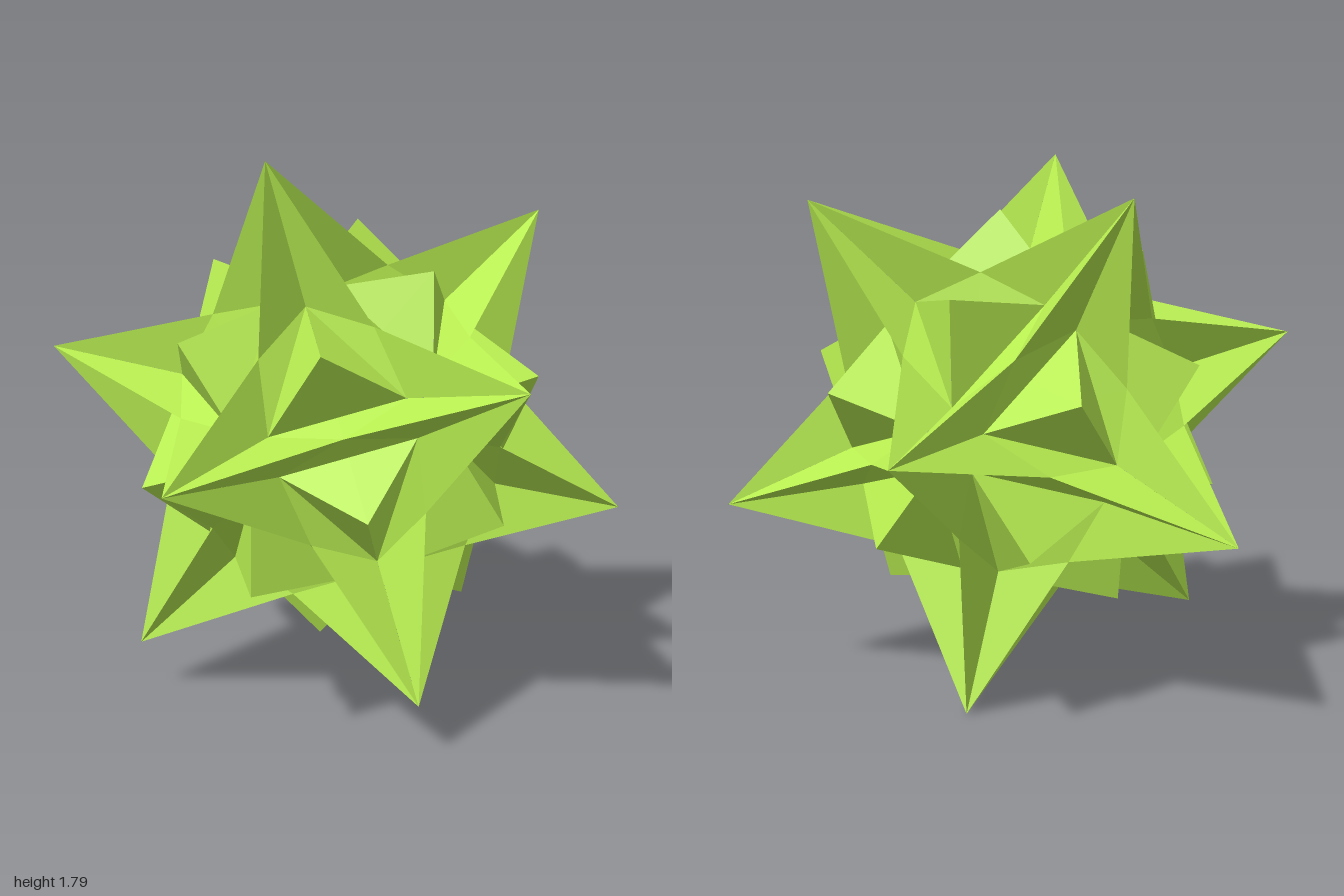
import * as THREE from 'three';

// Faceted star: 12 long five-finned spikes on icosahedral axes, with 20 short
// three-sided points rising between them.

// Spike tips: front, back and two staggered rings of five
function spikeTips() {
  const tips = [new THREE.Vector3(0, 0, 1), new THREE.Vector3(0, 0, -1)];
  const h = 1 / Math.sqrt(5);
  for (let i = 0; i < 5; i++) {
    const a = Math.PI / 2 + i * Math.PI * 0.4;
    const t = new THREE.Vector3(2 * h * Math.cos(a), 2 * h * Math.sin(a), h);
    tips.push(t, t.clone().negate());
  }
  return tips;
}

// Add a triangle, turned so that it faces away from the centre
function addTriangle(list, a, b, c) {
  const n = b.clone().sub(a).cross(c.clone().sub(a));
  const outward = n.dot(a.clone().add(b).add(c)) > 0;
  for (const v of outward ? [a, b, c] : [a, c, b]) list.push(v.x, v.y, v.z);
}

export function createModel() {
  const model = new THREE.Group();
  model.name = 'facetedStar';
  const material = new THREE.MeshStandardMaterial({ color: 0xb7ec50, flatShading: true });
  const parts = { finnedSpikes: [], finRoots: [], shortPoints: [] };
  const tips = spikeTips();
  const near = (a, b) => a !== b && a.dot(b) > 0.4;

  // One wedge for each spike A, neighbour B and common neighbour C
  for (const A of tips) for (const B of tips) for (const C of tips) {
    if (!near(A, B) || !near(B, C) || !near(A, C)) continue;
    // Local axes: out through the middle of AB, along AB, sideways to C
    const out = A.clone().add(B).normalize();
    const along = A.clone().sub(B).normalize();
    const side = C.clone().addScaledVector(out, -C.dot(out)).normalize();
    const at = (o, a, s) => new THREE.Vector3()
      .addScaledVector(out, o).addScaledVector(along, a).addScaledVector(side, s);

    const finEnd = at(0.5878, 0, 0);            // fins of A and B meet
    const valley = at(0.513, 0.2161, 0.0623);   // groove between two fins of A
    const base = at(0.513, 0, 0.0623);          // halfway to the groove of B
    const point = at(0.661, 0, 0.2525);         // tip of the short point

    addTriangle(parts.finnedSpikes, A, finEnd, valley);
    addTriangle(parts.finRoots, finEnd, base, valley);
    addTriangle(parts.shortPoints, valley, base, point);
  }

  for (const [name, list] of Object.entries(parts)) {
    const geometry = new THREE.BufferGeometry();
    geometry.setAttribute('position', new THREE.Float32BufferAttribute(list, 3));
    geometry.computeVertexNormals();
    const mesh = new THREE.Mesh(geometry, material);
    mesh.name = name;
    mesh.position.y = 2 / Math.sqrt(5);
    model.add(mesh);
  }
  return model;
}
